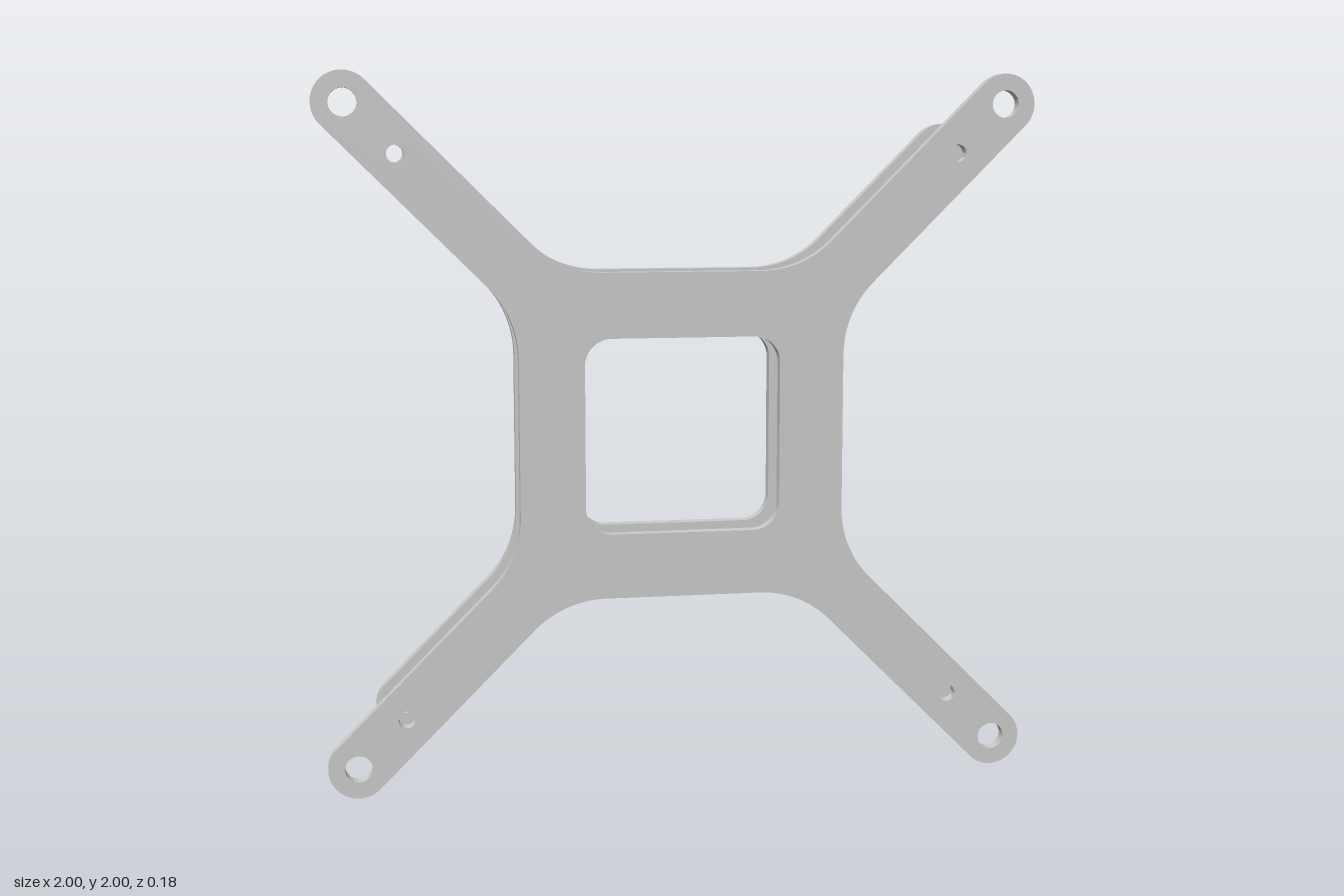
import * as THREE from 'three';
import { toCreasedNormals } from 'three/addons/utils/BufferGeometryUtils.js';

const THICK = 0.035;    // plate thickness
const HALF = 0.457;     // half width of the central square
const WINDOW = 0.275;   // half width of the window
const ARM_R = 0.084;    // half width of an arm and radius of its tip
const FLAT = 0.22;      // half length of the straight run on each side
const FILLET = (HALF - FLAT - ARM_R * Math.SQRT2) / (Math.SQRT2 - 1);
const Q = Math.PI / 4;

// X-shaped plate with a rounded window; holes are [diagonal offset, radius]
function plateGeometry(tip, holes) {
  const shape = new THREE.Shape();
  for (let k = 0; k < 4; k++) {
    const a = k * Math.PI / 2;
    const arc = (x, y, r, from, to, clockwise) => {
      const c = new THREE.Vector2(x, y).rotateAround(new THREE.Vector2(), a);
      shape.absarc(c.x, c.y, r, from + a, to + a, clockwise);
    };
    arc(HALF + FILLET, FLAT, FILLET, 4 * Q, 3 * Q, true);
    arc(tip, tip, ARM_R, -Q, 3 * Q, false);
    arc(FLAT, HALF + FILLET, FILLET, -Q, -2 * Q, true);
  }
  shape.closePath();

  // window with rounded corners
  const win = new THREE.Path();
  const r = 0.075, w = WINDOW - r;
  [[w, w], [-w, w], [-w, -w], [w, -w]].forEach(([x, y], k) =>
    win.absarc(x, y, r, k * 2 * Q, (k + 1) * 2 * Q, false));
  win.closePath();
  shape.holes.push(win);

  // screw holes on every arm
  for (const [d, radius] of holes)
    for (const sx of [-1, 1])
      for (const sy of [-1, 1])
        shape.holes.push(new THREE.Path().absarc(sx * d, sy * d, radius, 0, 8 * Q, false));

  const geo = new THREE.ExtrudeGeometry(shape, { depth: THICK, bevelEnabled: false, curveSegments: 24 });
  return toCreasedNormals(geo, Math.PI / 6);
}

export function createModel() {
  const model = new THREE.Group();
  model.name = 'mountingBracket';
  const grey = new THREE.MeshStandardMaterial({ color: 0xcccccc });
  const add = (name, geo, x, y, z) => {
    const mesh = new THREE.Mesh(geo, grey);
    mesh.name = name;
    mesh.position.set(x, y, z);
    model.add(mesh);
    return mesh;
  };

  // long-armed front plate and shorter back plate
  add('frontPlate', plateGeometry(1 - ARM_R, [[1 - ARM_R, 0.038], [0.78, 0.024]]), 0, 1, 0.055);
  add('backPlate', plateGeometry(0.778, [[0.78, 0.024]]), 0, 1, -0.09);

  // spacer bars between the plates, one along each arm
  const bar = new THREE.BoxGeometry(0.5, 0.07, 0.11);
  for (const sx of [-1, 1])
    for (const sy of [-1, 1]) {
      const name = (sy > 0 ? 'upper' : 'lower') + (sx > 0 ? 'Left' : 'Right') + 'Spacer';
      add(name, bar, sx * 0.518, 1 + sy * 0.518, 0).rotation.z = sx * sy * Q;
    }

  return model;
}
